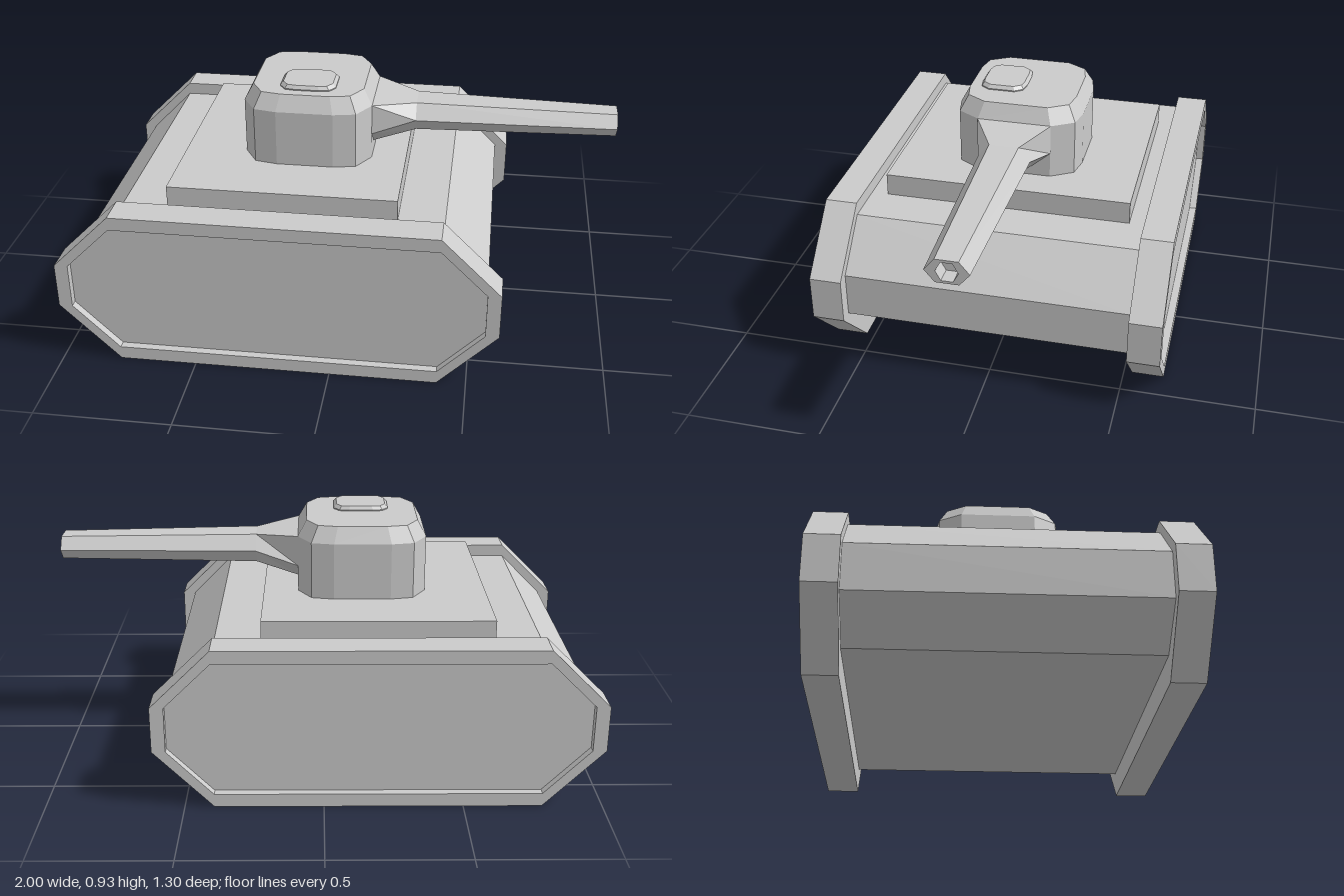
import * as THREE from 'three';

const material = new THREE.MeshStandardMaterial({ color: 0xcccccc, flatShading: true });

// Skin a list of equal-length rings (counterclockwise seen from the last ring's side) and cap both ends.
function loft(name, rings) {
  const pos = [];
  const tri = (a, b, c) => pos.push(...a, ...b, ...c);
  const n = rings[0].length;
  for (let r = 0; r < rings.length - 1; r++) {
    const A = rings[r], B = rings[r + 1];
    for (let i = 0; i < n; i++) {
      const j = (i + 1) % n;
      tri(A[i], A[j], B[j]);
      tri(A[i], B[j], B[i]);
    }
  }
  const first = rings[0], last = rings[rings.length - 1];
  for (let i = 1; i < n - 1; i++) {
    tri(first[0], first[i + 1], first[i]);
    tri(last[0], last[i], last[i + 1]);
  }
  const geo = new THREE.BufferGeometry();
  geo.setAttribute('position', new THREE.Float32BufferAttribute(pos, 3));
  geo.computeVertexNormals();
  const mesh = new THREE.Mesh(geo, material);
  mesh.name = name;
  return mesh;
}

// Chamfered side profile, symmetric in x: flat half-width, outer half-width, bottom and top.
const sideProfile = (flat, outer, bottom, top, z) => [
  [flat, bottom, z], [outer, 0.22, z], [outer, 0.39, z], [flat, top, z],
  [-flat, top, z], [-outer, 0.39, z], [-outer, 0.22, z], [-flat, bottom, z],
];

// Twelve-sided rounded rectangle in plan, with half sizes w and d.
function roundedRing(w, d, y) {
  const quarter = [[1, 0.58], [0.79, 0.93], [0.44, 1]];
  const back = quarter.map(([x, z]) => [-x, z]).reverse();
  const half = [...quarter, ...back];
  return [...half, ...half.map(([x, z]) => [-x, -z])].map(([x, z]) => [x * w, y, -z * d]);
}

// Mirrored gun section at x, from half-section points [z, y] listed top to bottom.
const gunRing = (x, half) => [
  ...half.map(([z, y]) => [x, y, z]),
  ...[...half].reverse().map(([z, y]) => [x, y, -z]),
];
const hexHalf = (side, shoulder, top, mid, bottom) =>
  [[shoulder, top], [shoulder, top], [side, mid], [shoulder, bottom]];

export function createModel() {
  const model = new THREE.Group();
  model.name = 'tank';
  const cx = -0.195;

  // Hull between the tracks
  const hull = loft('hull', [
    sideProfile(0.59, 0.755, 0.095, 0.557, -0.535),
    sideProfile(0.59, 0.755, 0.095, 0.557, 0.535),
  ]);
  hull.position.x = cx;
  model.add(hull);

  // Tracks with a shallow recess on the outer face
  for (const side of [1, -1]) {
    const track = loft(side > 0 ? 'frontTrack' : 'backTrack', [
      sideProfile(0.588, 0.805, 0, 0.605, -0.06),
      sideProfile(0.588, 0.805, 0, 0.605, 0.06),
      sideProfile(0.588, 0.755, 0.05, 0.555, 0.06),
      sideProfile(0.588, 0.755, 0.05, 0.555, 0.03),
    ]);
    track.position.set(cx, 0, side * 0.591);
    if (side < 0) track.rotation.y = Math.PI;
    model.add(track);
  }

  // Raised deck under the turret
  const deck = new THREE.Mesh(new THREE.BoxGeometry(0.84, 0.1, 0.936), material);
  deck.name = 'deck';
  deck.position.set(cx, 0.592, 0);
  model.add(deck);

  // Turret with a bevelled roof
  const turret = loft('turret', [
    roundedRing(0.24, 0.24, 0.63),
    roundedRing(0.24, 0.24, 0.855),
    roundedRing(0.208, 0.208, 0.914),
  ]);
  turret.position.x = -0.145;
  model.add(turret);

  // Hatch on the roof
  const hatch = loft('hatch', [
    roundedRing(0.104, 0.087, 0.905),
    roundedRing(0.104, 0.087, 0.918),
    roundedRing(0.093, 0.078, 0.931),
  ]);
  hatch.position.set(-0.145, 0, 0.082);
  model.add(hatch);

  // Gun: flared mantlet, tapering hexagonal barrel, hollow muzzle
  model.add(loft('gun', [
    gunRing(0.07, [[0.07, 0.855], [0.14, 0.855], [0.14, 0.74], [0.07, 0.68]]),
    gunRing(0.095, [[0.07, 0.855], [0.14, 0.855], [0.14, 0.74], [0.07, 0.68]]),
    gunRing(0.255, hexHalf(0.098, 0.055, 0.838, 0.784, 0.73)),
    gunRing(1, hexHalf(0.076, 0.04, 0.826, 0.782, 0.739)),
    gunRing(1, hexHalf(0.038, 0.02, 0.816, 0.782, 0.748)),
    gunRing(0.94, hexHalf(0.038, 0.02, 0.816, 0.782, 0.748)),
  ]));

  return model;
}
